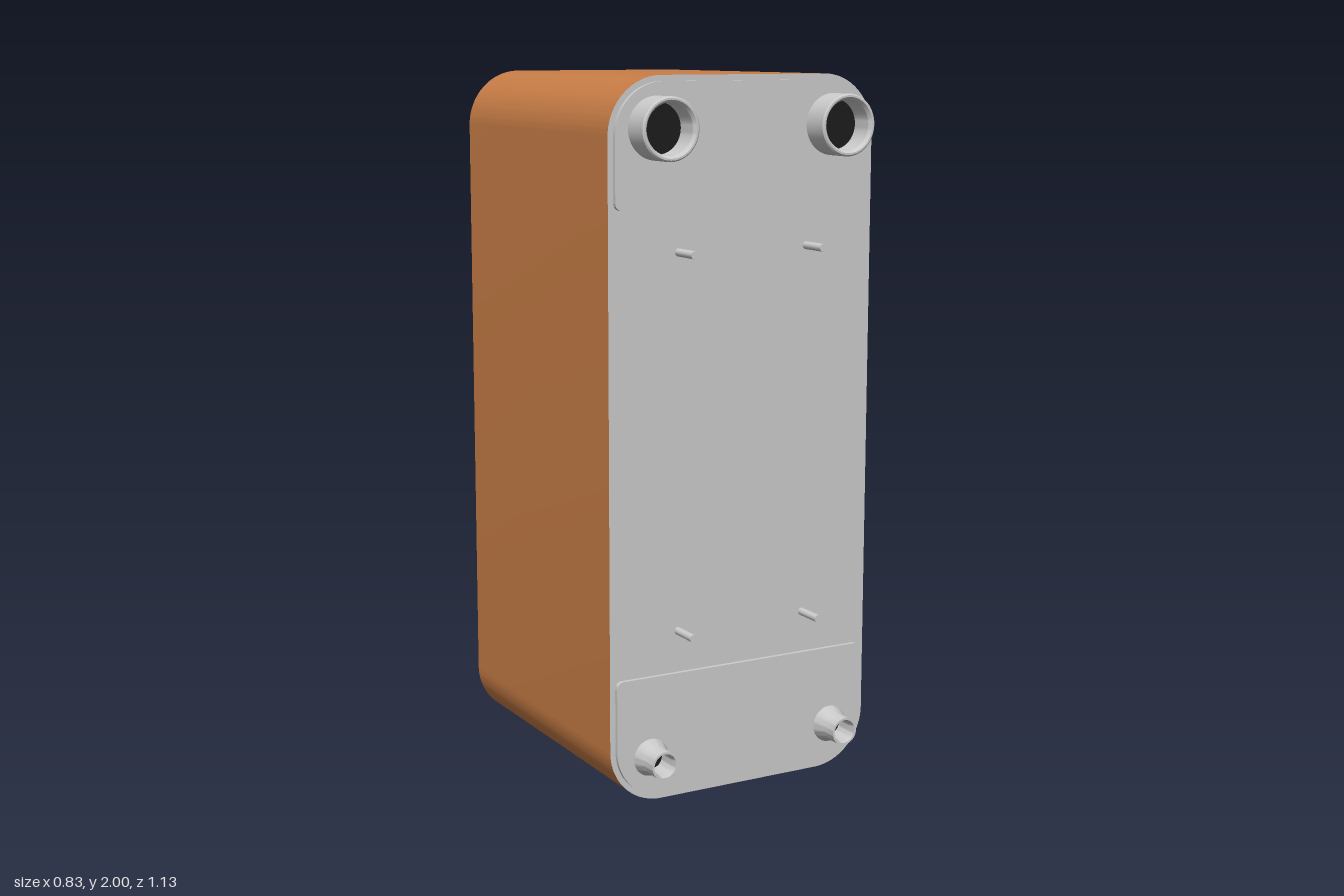
import * as THREE from 'three';
import { toCreasedNormals } from 'three/addons/utils/BufferGeometryUtils.js';

const grey = new THREE.MeshStandardMaterial({ color: 0xcccccc });
const copper = new THREE.MeshStandardMaterial({ color: 0xc87d46 });
const dark = new THREE.MeshStandardMaterial({ color: 0x1c1c1c });

const FRONT = 0.472, BACK = -0.422, HALF_W = 0.416, RADIUS = 0.16;

// Rectangle with separate radii for the bottom and top corners
function roundedRect(halfW, y0, y1, rBottom, rTop, Type = THREE.Shape) {
  const s = new Type();
  s.moveTo(-halfW + rBottom, y0);
  s.lineTo(halfW - rBottom, y0);
  s.absarc(halfW - rBottom, y0 + rBottom, rBottom, -Math.PI / 2, 0);
  s.lineTo(halfW, y1 - rTop);
  s.absarc(halfW - rTop, y1 - rTop, rTop, 0, Math.PI / 2);
  s.lineTo(-halfW + rTop, y1);
  s.absarc(-halfW + rTop, y1 - rTop, rTop, Math.PI / 2, Math.PI);
  s.lineTo(-halfW, y0 + rBottom);
  s.absarc(-halfW + rBottom, y0 + rBottom, rBottom, Math.PI, Math.PI * 1.5);
  return s;
}

const outline = (inset, Type) =>
  roundedRect(HALF_W - inset, inset, 2 - inset, RADIUS - inset, RADIUS - inset, Type);

function slab(name, shape, z0, z1, material) {
  const geo = new THREE.ExtrudeGeometry(shape, { depth: z1 - z0, bevelEnabled: false, curveSegments: 20 });
  geo.translate(0, 0, z0);
  const mesh = new THREE.Mesh(toCreasedNormals(geo, 0.5), material);
  mesh.name = name;
  return mesh;
}

// Hollow connection: profile is [radius, height], along +z for dir 1 and -z for dir -1
function port(name, profile, boreRadius, boreHeight, x, y, z, dir) {
  const group = new THREE.Group();
  group.name = name;
  const lathe = new THREE.LatheGeometry(profile.map(([r, h]) => new THREE.Vector2(r, h)), 48);
  const tube = new THREE.Mesh(toCreasedNormals(lathe, 0.5), grey);
  tube.name = 'portTube';
  const bore = new THREE.Mesh(new THREE.CircleGeometry(boreRadius, 48), dark);
  bore.name = 'portBore';
  bore.rotation.x = -Math.PI / 2;
  bore.position.y = boreHeight;
  group.add(tube, bore);
  group.rotation.x = dir * Math.PI / 2;
  group.position.set(x, y, z);
  return group;
}

export function createModel() {
  const model = new THREE.Group();
  model.name = 'plateHeatExchanger';

  // Copper casing around the plate pack, with a lip at the back
  const casing = outline(0);
  casing.holes.push(outline(0.004, THREE.Path));
  model.add(slab('casing', casing, BACK, FRONT, [grey, copper]));
  model.add(slab('platePack', outline(0.004), BACK + 0.02, FRONT, grey));
  const lip = outline(0.004);
  lip.holes.push(outline(0.012, THREE.Path));
  model.add(slab('backLip', lip, BACK, BACK + 0.02, grey));

  // Reinforcing plates at the top and bottom of both faces
  for (const [side, z0, z1] of [['front', FRONT, FRONT + 0.012], ['back', BACK + 0.02, BACK + 0.008]]) {
    const a = Math.min(z0, z1), b = Math.max(z0, z1);
    model.add(slab(side + 'UpperPlate', roundedRect(0.4, 1.648, 1.984, 0.02, 0.144), a, b, grey));
    model.add(slab(side + 'LowerPlate', roundedRect(0.4, 0.016, 0.36, 0.144, 0.02), a, b, grey));
  }

  // Front connections and studs, mirrored left and right
  const wide = [[0.085, 0], [0.085, 0.091], [0.081, 0.095], [0.076, 0.095], [0.069, 0.085], [0.069, 0.005]];
  const flared = [[0.053, 0], [0.053, 0.014], [0.04, 0.048], [0.04, 0.095], [0.034, 0.095], [0.03, 0.075], [0.03, 0.005]];
  for (const s of [-1, 1]) {
    const side = s > 0 ? 'left' : 'right';
    model.add(port(side + 'UpperPort', wide, 0.0695, 0.02, s * 0.277, 1.862, FRONT, 1));
    model.add(port(side + 'LowerPort', flared, 0.0305, 0.02, s * 0.295, 0.13, FRONT, 1));
    for (const y of [0.478, 1.53]) {
      const stud = new THREE.Mesh(new THREE.CylinderGeometry(0.011, 0.011, 0.1, 20), grey);
      stud.name = 'mountingStud';
      stud.rotation.x = Math.PI / 2;
      stud.position.set(s * 0.203, y, 0.51);
      model.add(stud);
    }
  }

  // Large collared connections on the back
  const collared = [[0.124, -0.015], [0.124, 0.056], [0.121, 0.056], [0.121, 0.139], [0.115, 0.145],
    [0.11, 0.145], [0.102, 0.132], [0.102, 0.045], [0.085, 0.045], [0.085, 0]];
  model.add(port('backUpperPort', collared, 0.0855, 0.015, 0, 1.78, BACK, -1));
  model.add(port('backLowerPort', collared, 0.0855, 0.015, 0, 0.225, BACK, -1));

  return model;
}
